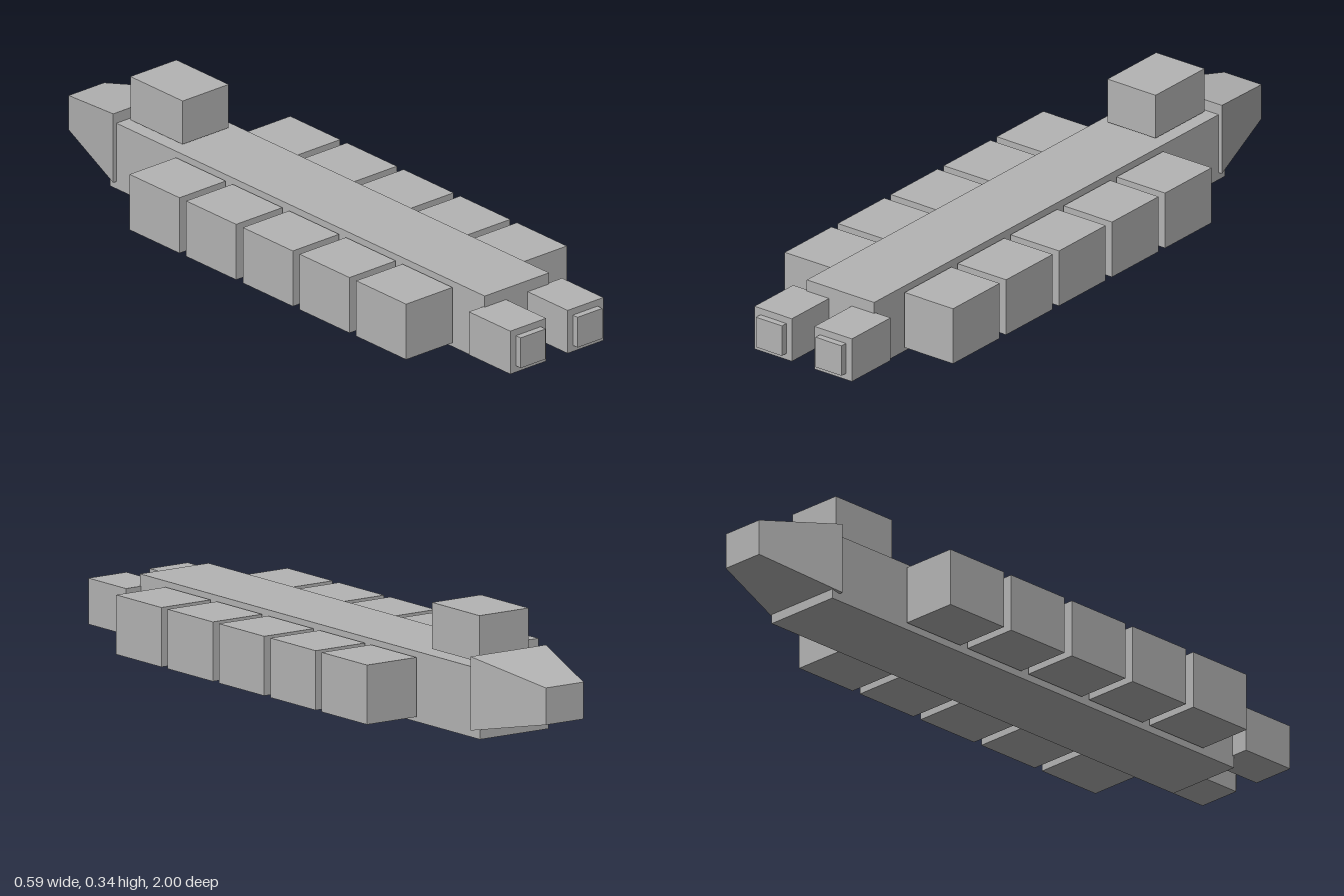
import * as THREE from 'three';

export function createModel() {
  const ship = new THREE.Group();
  ship.name = 'cargoShip';
  const hullGrey = new THREE.MeshStandardMaterial({ color: 0xb4b4b4 });
  hullGrey.name = 'hull grey';

  // Box given by its extents along each axis
  function box(name, [x0, x1], [y0, y1], [z0, z1]) {
    const mesh = new THREE.Mesh(new THREE.BoxGeometry(x1 - x0, y1 - y0, z1 - z0), hullGrey);
    mesh.position.set((x0 + x1) / 2, (y0 + y1) / 2, (z0 + z1) / 2);
    mesh.name = name;
    ship.add(mesh);
    return mesh;
  }

  // Long central spine and the raised bridge near its far end
  box('spine', [-0.119, 0.119], [0, 0.2], [-0.766, 0.812]);
  box('bridge', [-0.085, 0.085], [0.207, 0.339], [-0.718, -0.498]);

  // Nose block, tapering to half size at its tip
  const noseGeo = new THREE.BoxGeometry(0.262, 0.21, 0.262);
  const pos = noseGeo.attributes.position;
  for (let i = 0; i < pos.count; i++) {
    if (pos.getZ(i) < 0) pos.setXY(i, pos.getX(i) * 0.5, pos.getY(i) * 0.5);
  }
  const flatNose = noseGeo.toNonIndexed();
  flatNose.computeVertexNormals();
  const nose = new THREE.Mesh(flatNose, hullGrey);
  nose.position.set(0, 0.127, -0.869);
  nose.name = 'nose';
  ship.add(nose);

  for (const [side, s] of [['left', 1], ['right', -1]]) {
    const span = (a, b) => (s > 0 ? [a, b] : [-b, -a]);

    // Row of cargo containers
    for (let i = 0; i < 5; i++) {
      const z = -0.375 + i * 0.2385;
      box(`${side}Container${i + 1}`, span(0.126, 0.297), [0.016, 0.185], [z - 0.105, z + 0.105]);
    }

    // Engine block with a smaller nozzle
    box(`${side}Engine`, span(0.04, 0.172), [0.035, 0.166], [0.806, 0.98]);
    box(`${side}Nozzle`, span(0.059, 0.151), [0.054, 0.146], [0.96, 1]);
  }

  return ship;
}
